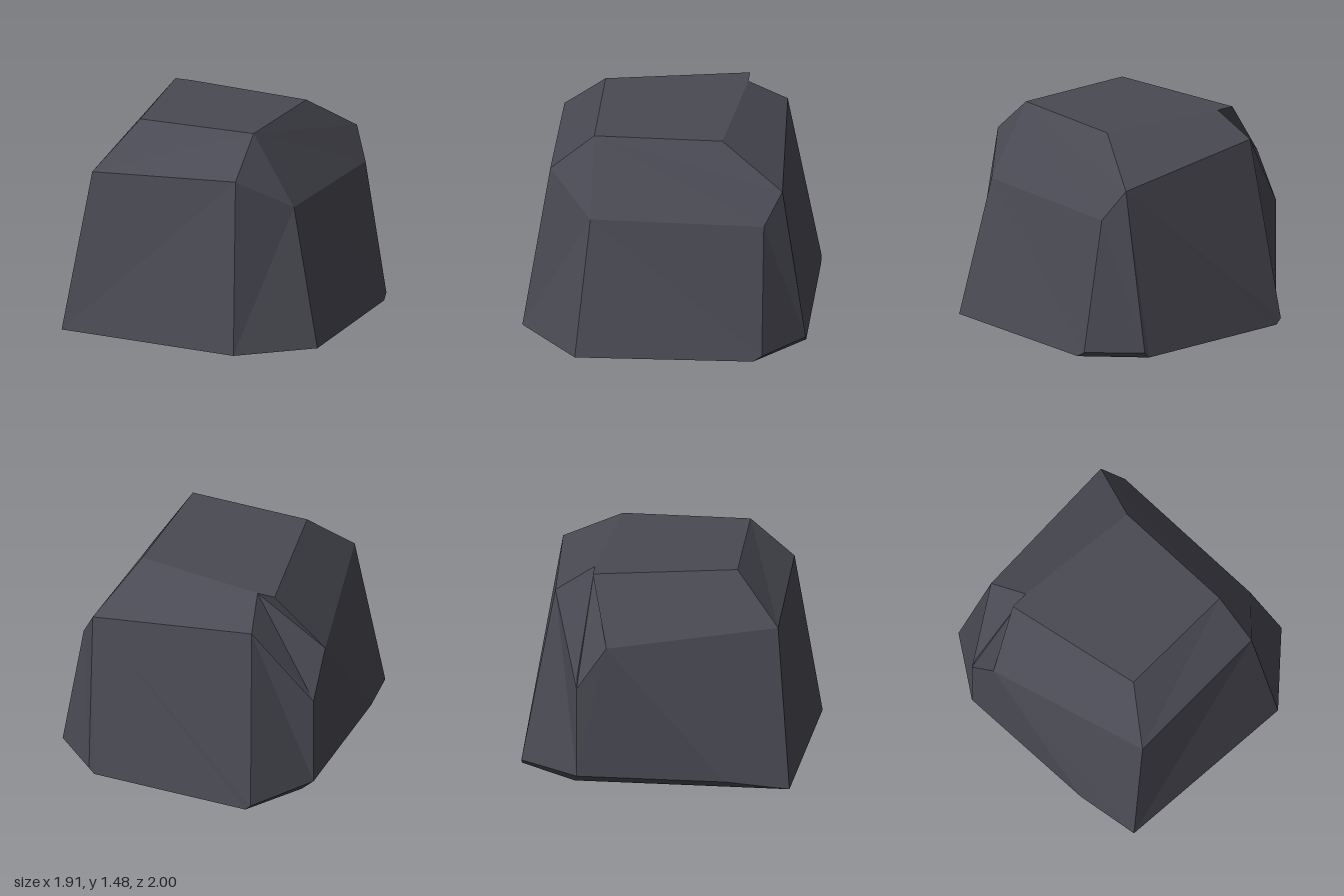
import * as THREE from 'three';

// Corner points of the faceted boulder
const P = {
  // flat top
  topFR: [0.42, 1.48, 0.5], topFL: [-0.45, 1.48, 0.5], topL: [-0.63, 1.48, -0.5],
  topBL: [-0.5, 1.48, -0.5], topBR: [0.42, 1.48, -0.4],
  // shoulder
  shFL: [-0.68, 1.15, 0.81], shF: [-0.32, 1.17, 0.81], shFR: [0.42, 1.21, 0.81],
  shRF: [0.73, 0.98, 0.5], shRB: [0.73, 0.98, -0.72],
  shBR: [0.61, 1.2, -0.84], shBL: [-0.57, 1.32, -0.77], shL: [-0.96, 1.06, -0.37],
  // chipped corner
  chipIn: [-0.92, 0.82, -0.58], chipOut: [-0.96, 0.74, -0.58],
  // low edges just above the ground
  lowRB: [0.89, 0.04, -0.72], lowBR: [0.57, 0.04, -1], lowBL: [-0.66, 0.04, -1],
  lowLB: [-0.96, 0.07, -0.58], lowLF: [-0.95, 0.07, 0.47],
  // ground outline
  gFL: [-0.87, 0, 0.91], gFR: [0.49, 0, 1], gRF: [0.95, 0, 0.59], gRB: [0.9, 0, -0.66],
  gBR: [0.53, 0, -1], gBL: [-0.62, 0, -1], gLB: [-0.88, 0, -0.6],
};

// Each facet is a polygon, split as a fan from its first corner
const FACETS = [
  'topFR topBR topBL topL topFL',
  'gFL gFR shFR shF shFL',             // front
  'shFL shF shFR topFR topFL',         // front bevel
  'gFR gRF shRF shFR',                 // front right chamfer
  'shFR shRF topFR',
  'topFR shRF shRB shBR topBR',        // right bevel
  'shRF gRF gRB lowRB shRB',           // right
  'shRB lowRB lowBR shBR',             // back right chamfer
  'lowRB gRB gBR lowBR',
  'topBR shBR shBL topBL',             // back bevel
  'shBR lowBR gBR gBL lowBL shBL',     // back
  'shBL lowBL lowLB chipOut chipIn',   // back left chamfer
  'lowBL gBL gLB lowLB',
  'topBL shBL chipIn',                 // chip
  'topBL chipIn chipOut shL topL',
  'topL shL shFL topFL',               // left bevel
  'shL chipOut lowLB lowLF',           // left
  'shL lowLF gFL shFL',
  'lowLB gLB gFL lowLF',
  'gFL gFR gRF gRB gBR gBL gLB',       // underside
];

function facetedSolid(points, facets, centre) {
  const out = [];
  for (const facet of facets) {
    const v = facet.split(' ').map((k) => new THREE.Vector3(...points[k]));
    for (let i = 1; i < v.length - 1; i++) {
      const tri = new THREE.Triangle(v[0], v[i], v[i + 1]);
      // turn every triangle to face away from the middle
      const away = tri.getMidpoint(new THREE.Vector3()).sub(centre);
      const inward = tri.getNormal(new THREE.Vector3()).dot(away) < 0;
      const order = inward ? [tri.a, tri.c, tri.b] : [tri.a, tri.b, tri.c];
      for (const p of order) out.push(p.x, p.y, p.z);
    }
  }
  const geo = new THREE.BufferGeometry();
  geo.setAttribute('position', new THREE.Float32BufferAttribute(out, 3));
  geo.computeVertexNormals();
  return geo;
}

export function createModel() {
  const group = new THREE.Group();
  group.name = 'boulder';
  const stone = new THREE.MeshStandardMaterial({ color: 0x4a4a54, flatShading: true });
  stone.name = 'dark slate stone';
  const rock = new THREE.Mesh(facetedSolid(P, FACETS, new THREE.Vector3(0, 0.7, 0)), stone);
  rock.name = 'rock';
  group.add(rock);
  return group;
}
